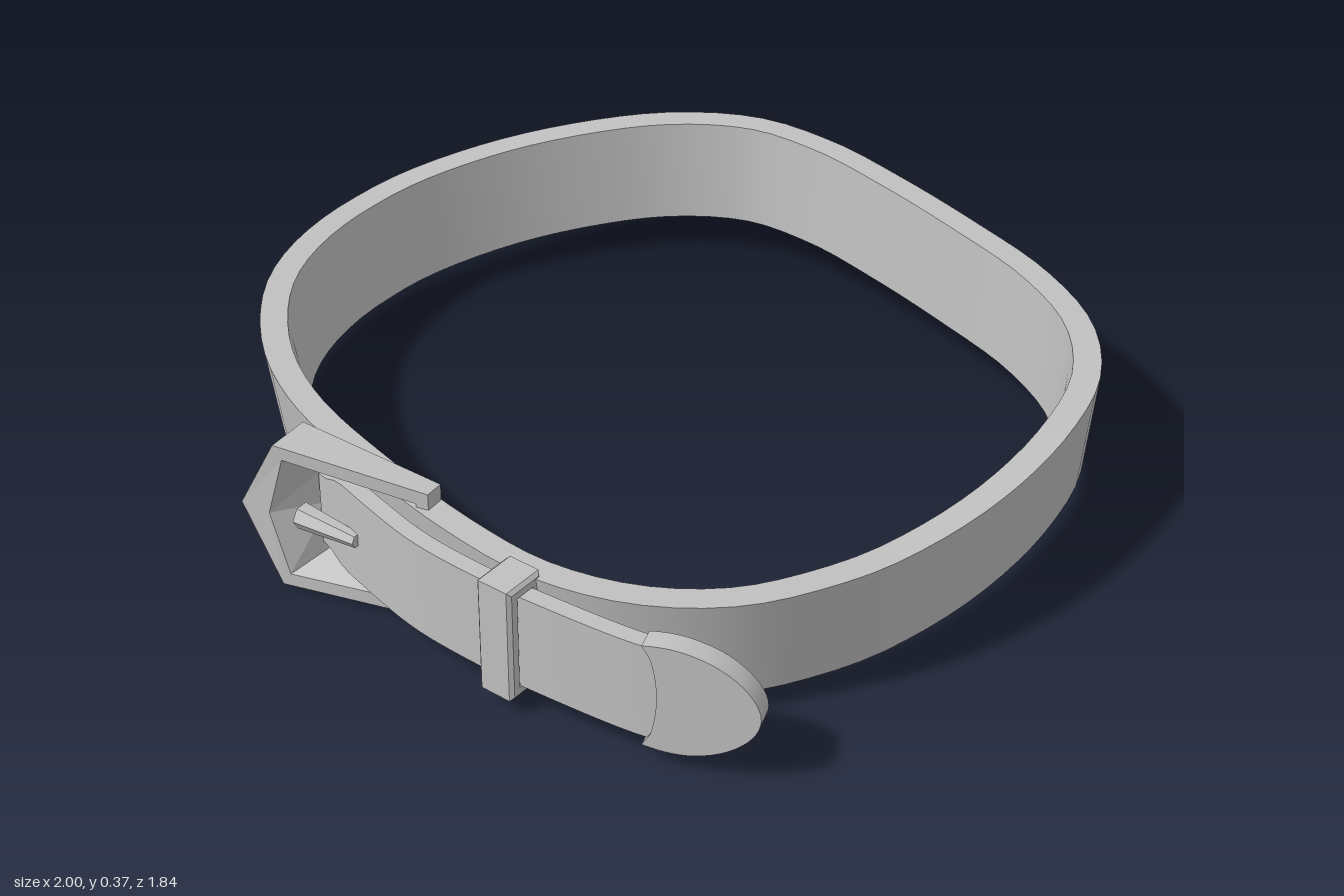
import * as THREE from 'three';
import { toCreasedNormals } from 'three/addons/utils/BufferGeometryUtils.js';

const grey = new THREE.MeshStandardMaterial({ color: 0xc0c0c0 });
grey.name = 'grey';
const V = (x, y, z) => new THREE.Vector3(x, y, z);

function part(name, geometry, parent) {
  const mesh = new THREE.Mesh(geometry, grey);
  mesh.name = name;
  parent.add(mesh);
  return mesh;
}

// Joins equal-sized cross-sections; a closed loft returns to its first section
function loft(sections, closed, crease = 0.6) {
  const n = sections[0].length, m = sections.length, index = [];
  for (let i = 0; i < (closed ? m : m - 1); i++) {
    for (let j = 0; j < n; j++) {
      const k = (i + 1) % m, l = (j + 1) % n;
      const a = i * n + j, b = i * n + l, c = k * n + l, d = k * n + j;
      index.push(a, b, c, a, c, d);
    }
  }
  if (!closed) {
    const e = (m - 1) * n;
    for (let j = 1; j < n - 1; j++) index.push(0, j + 1, j, e, e + j, e + j + 1);
  }
  const g = new THREE.BufferGeometry().setFromPoints(sections.flat());
  g.setIndex(index);
  return toCreasedNormals(g, crease);
}

const outward = (t) => V(-t.z, 0, t.x).normalize();

// Band: rounded-square loop, leaning inward at the bottom and rising at the back
function bandGeometry() {
  const outline = [
    [0, 0.735], [0.25, 0.725], [0.49, 0.68], [0.685, 0.57], [0.82, 0.41], [0.888, 0.215],
    [0.915, 0], [0.9, -0.24], [0.835, -0.49], [0.73, -0.695], [0.57, -0.83], [0.35, -0.9],
    [0.08, -0.92], [-0.18, -0.923], [-0.4, -0.91], [-0.61, -0.85], [-0.78, -0.705],
    [-0.9, -0.5], [-0.98, -0.25], [-1, 0.04], [-0.93, 0.295], [-0.8, 0.49],
    [-0.58, 0.645], [-0.34, 0.72],
  ].map(([x, z]) => V(x, 0, z));
  const curve = new THREE.CatmullRomCurve3(outline, true, 'centripetal');
  const sections = [], steps = 96;
  for (let i = 0; i < steps; i++) {
    const p = curve.getPointAt(i / steps), n = outward(curve.getTangentAt(i / steps));
    const rise = 0.052 * Math.max(0, (0.1 - p.z) / 1.02);
    const lean = THREE.MathUtils.clamp(0.03 + 0.012 * p.z, 0.018, 0.035);
    const at = (inset, y) => p.clone().addScaledVector(n, -inset).setY(y + rise);
    sections.push([at(0, 0.31), at(lean, 0.055), at(lean + 0.063, 0.055), at(0.063, 0.31)]);
  }
  return loft(sections, true);
}

// Loose end: strap that runs out of the buckle and swings off the band
function strapGeometry() {
  const curve = new THREE.CatmullRomCurve3([
    V(-0.13, 0, 0.772), V(0.06, 0, 0.777), V(0.22, 0, 0.772), V(0.4, 0, 0.737),
    V(0.54, 0, 0.697), V(0.78, 0, 0.61), V(0.87, 0, 0.555),
  ]);
  const sections = [], steps = 32;
  for (let i = 0; i <= steps; i++) {
    const p = curve.getPointAt(i / steps), n = outward(curve.getTangentAt(i / steps));
    const half = 0.09 + 0.026 * THREE.MathUtils.smoothstep(p.x, -0.12, -0.04);
    const at = (off, y) => p.clone().addScaledVector(n, off).setY(0.18 + y);
    sections.push([at(0.02, half), at(0.02, -half), at(-0.02, -half), at(-0.02, half)]);
  }
  return loft(sections, false);
}

// Buckle: five-sided frame with a pointed thick end, sloped inner walls and thin far end
function buckleGeometry() {
  const depth = (u) => 0.105 - 0.06 * Math.max(0, u) / 0.364;
  const outer = [[-0.1, 0.183], [0, 0.37], [0.364, 0.35], [0.364, 0.02], [0, 0]];
  const innerFront = [[-0.024, 0.183], [0.02, 0.337], [0.335, 0.318], [0.335, 0.052], [0.02, 0.033]];
  const innerBack = [[0.06, 0.183], [0.07, 0.292], [0.33, 0.3], [0.33, 0.068], [0.07, 0.075]];
  const sections = outer.map(([u, y], i) => {
    const [fu, fy] = innerFront[i], [bu, by] = innerBack[i];
    return [V(u, y, 0), V(u, y, depth(u)), V(fu, fy, depth(fu)), V(bu, by, 0)];
  });
  return loft(sections, true, 0.1);
}

// Tip cap: rounded end plate with a curved inner edge
function capGeometry() {
  const s = new THREE.Shape();
  s.moveTo(0, 0.05);
  s.quadraticCurveTo(0.06, 0.038, 0.11, 0.05);
  s.bezierCurveTo(0.19, 0.07, 0.25, 0.13, 0.25, 0.18);
  s.bezierCurveTo(0.25, 0.23, 0.19, 0.29, 0.11, 0.305);
  s.quadraticCurveTo(0.06, 0.317, 0, 0.305);
  s.lineTo(0.018, 0.275);
  s.quadraticCurveTo(0.045, 0.18, 0.018, 0.08);
  s.closePath();
  const g = new THREE.ExtrudeGeometry(s, { depth: 0.05, bevelEnabled: false, curveSegments: 12 });
  return toCreasedNormals(g.translate(0, 0, -0.025), 0.6);
}

// Keeper: rectangular ring around the strap
function keeperGeometry() {
  const rect = (path, w, h) => path.moveTo(-w, -h).lineTo(w, -h).lineTo(w, h).lineTo(-w, h).closePath();
  const s = new THREE.Shape(), hole = new THREE.Path();
  rect(s, 0.043, 0.132);
  rect(hole, 0.026, 0.116);
  s.holes.push(hole);
  const g = new THREE.ExtrudeGeometry(s, {
    depth: 0.074, bevelThickness: 0.008, bevelSize: 0.008, bevelSegments: 1,
  });
  return g.translate(0, 0, -0.037).rotateY(Math.PI / 2);
}

export function createModel() {
  const model = new THREE.Group();
  model.name = 'belt';
  part('band', bandGeometry(), model);
  part('strapEnd', strapGeometry(), model);

  const buckle = part('buckleFrame', buckleGeometry(), model);
  buckle.position.set(-0.19, 0, 0.785);
  buckle.rotation.y = 0.32;

  // Prong: tapered six-sided pin resting on the strap
  const pin = new THREE.CylinderGeometry(0.017, 0.03, 0.155, 6).rotateZ(-Math.PI / 2);
  const prong = part('prong', toCreasedNormals(pin, 0.3), model);
  prong.position.set(-0.055, 0.182, 0.82);
  prong.rotation.y = 0.28;

  const keeper = part('keeperLoop', keeperGeometry(), model);
  keeper.position.set(0.46, 0.18, 0.72);
  keeper.rotation.y = 0.24;

  const cap = part('tipCap', capGeometry(), model);
  cap.position.set(0.777, 0, 0.617);
  cap.rotation.y = 0.57;
  return model;
}
